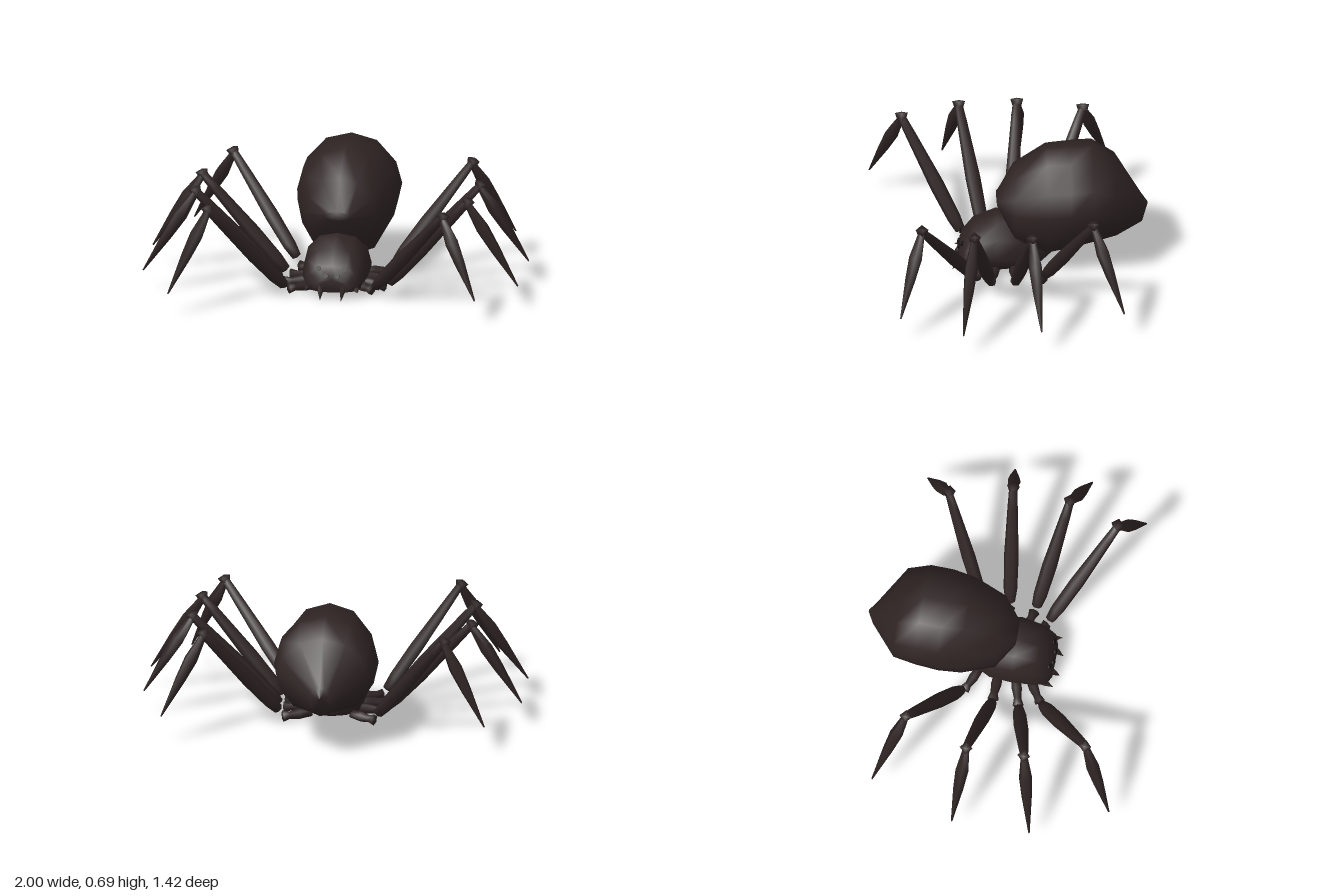
import * as THREE from 'three';

const shell = new THREE.MeshStandardMaterial({ name: 'dark brown shell', color: 0x2e2323 });
const eyeBlack = new THREE.MeshStandardMaterial({ name: 'eye black', color: 0x150f10 });

const V = (p) => new THREE.Vector3(...p);

// Skin a body through sections [z, top, bottom, halfWidth], listed front to back
function loftBody(name, half, sections) {
  const ring = [...half, ...half.slice(1, -1).reverse().map(([x, y]) => [-x, y])];
  const n = ring.length, pos = [], idx = [];
  for (const [z, top, bottom, w] of sections) {
    const mid = (top + bottom) / 2, h = (top - bottom) / 2;
    for (const [x, y] of ring) pos.push(x * w, mid + y * h, z);
  }
  const last = (sections.length - 1) * n;
  for (let j = 0; j < n; j++) {
    const k = (j + 1) % n;
    for (let i = 0; i < last; i += n) {
      idx.push(i + j, i + k, i + n + j, i + k, i + n + k, i + n + j);
    }
    // end caps
    if (j > 0 && k > 0) idx.push(0, k, j, last, last + j, last + k);
  }
  const geo = new THREE.BufferGeometry();
  geo.setAttribute('position', new THREE.Float32BufferAttribute(pos, 3));
  geo.setIndex(idx);
  geo.computeVertexNormals();
  const mesh = new THREE.Mesh(geo, shell);
  mesh.name = name;
  return mesh;
}

// Tapered limb segment from a to b; profile is [radius, fraction along]
function limb(name, a, b, profile, sides = 6) {
  const from = V(a), dir = V(b).sub(from), length = dir.length();
  const pts = profile.map(([r, t]) => new THREE.Vector2(r, t * length));
  const mesh = new THREE.Mesh(new THREE.LatheGeometry(pts, sides), shell);
  mesh.name = name;
  mesh.position.copy(from);
  mesh.quaternion.setFromUnitVectors(new THREE.Vector3(0, 1, 0), dir.normalize());
  return mesh;
}

const COXA = [[0, 0], [0.022, 0.03], [0.028, 0.45], [0.02, 0.75], [0.03, 0.97], [0, 1]];
const FEMUR = [[0, 0], [0.026, 0.01], [0.036, 0.12], [0.039, 0.4], [0.027, 0.85], [0.022, 0.99], [0, 1]];
const KNEE = [[0, 0], [0.018, 0.02], [0.034, 0.9], [0, 1]];
const TIBIA = [[0, 0], [0.018, 0.01], [0.036, 0.3], [0.028, 0.55], [0.004, 1], [0, 1]];
const SPIKE = [[0, 0], [0.02, 0.02], [0.016, 0.4], [0, 1]];

// Each leg: hip, knee and foot
const LEGS = {
  leftFrontLeg: [[0.22, 0.06, 0.2], [0.62, 0.55, 0.49], [0.81, 0.14, 0.61]],
  leftSecondLeg: [[0.28, 0.06, 0.12], [0.71, 0.55, 0.22], [0.99, 0.13, 0.29]],
  leftThirdLeg: [[0.28, 0.06, -0.02], [0.73, 0.55, -0.085], [0.985, 0.14, -0.12]],
  leftBackLeg: [[0.27, 0.08, -0.17], [0.64, 0.57, -0.41], [0.85, 0.16, -0.56]],
  rightFrontLeg: [[-0.25, 0.06, 0.245], [-0.61, 0.55, 0.54], [-0.8, 0.13, 0.7]],
  rightSecondLeg: [[-0.29, 0.06, 0.13], [-0.72, 0.55, 0.235], [-0.99, 0.13, 0.31]],
  rightThirdLeg: [[-0.28, 0.06, -0.015], [-0.73, 0.55, -0.07], [-1, 0.14, -0.1]],
  rightBackLeg: [[-0.25, 0.08, -0.18], [-0.62, 0.57, -0.41], [-0.85, 0.16, -0.55]],
};

function buildLeg(name, [hip, knee, foot]) {
  const leg = new THREE.Group();
  leg.name = name;
  const s = Math.sign(hip[0]);
  const inner = [s * 0.1, 0.05, hip[2] * 0.6];
  const outer = [hip[0] - s * 0.015, 0.04, hip[2] * 0.95];
  const kneeTop = [knee[0] + s * 0.012, knee[1] + 0.025, knee[2]];
  const kneeBase = [knee[0] - s * 0.01, knee[1] - 0.03, knee[2]];
  leg.add(
    limb('coxa', inner, outer, COXA),
    limb('femur', hip, knee, FEMUR),
    limb('knee', kneeBase, kneeTop, KNEE, 4),
    limb('tibia', knee, foot, TIBIA, 5),
  );
  return leg;
}

export function createModel() {
  const spider = new THREE.Group();
  spider.name = 'spider';

  // Big raised abdomen, tapering to a point at the rear
  const eggHalf = [[0, 1], [0.5, 0.87], [0.88, 0.45], [1, 0.02], [0.9, -0.4], [0.63, -0.8], [0, -1]];
  spider.add(loftBody('abdomen', eggHalf, [
    [0.07, 0.42, 0.37, 0.07],
    [-0.02, 0.58, 0.17, 0.19],
    [-0.19, 0.69, 0.09, 0.25],
    [-0.31, 0.695, 0.125, 0.27],
    [-0.43, 0.7, 0.16, 0.268],
    [-0.55, 0.615, 0.2, 0.245],
    [-0.69, 0.4, 0.24, 0.05],
    [-0.72, 0.355, 0.345, 0.006],
  ]));

  // Low head and thorax with a flat underside
  const domeHalf = [[0, 1], [0.52, 0.87], [0.86, 0.4], [1, -0.35], [0.85, -0.85], [0, -1]];
  spider.add(loftBody('thorax', domeHalf, [
    [0.27, 0.11, 0.04, 0.09],
    [0.25, 0.18, 0.035, 0.14],
    [0.19, 0.255, 0.03, 0.165],
    [0.07, 0.305, 0.03, 0.178],
    [-0.05, 0.27, 0.035, 0.165],
    [-0.16, 0.18, 0.05, 0.1],
    [-0.22, 0.12, 0.08, 0.03],
  ]));

  for (const [name, joints] of Object.entries(LEGS)) spider.add(buildLeg(name, joints));

  // Mouthparts and eyes, mirrored
  for (const [side, s] of [['left', 1], ['right', -1]]) {
    spider.add(
      limb(side + 'Fang', [s * 0.06, 0.08, 0.25], [s * 0.055, 0.005, 0.305], SPIKE, 5),
      limb(side + 'Feeler', [s * 0.12, 0.06, 0.22], [s * 0.14, 0.05, 0.285], SPIKE, 5),
    );
    for (const [x, y, z] of [[0.07, 0.165, 0.254], [0.03, 0.13, 0.268]]) {
      const eye = new THREE.Mesh(new THREE.CylinderGeometry(0.014, 0.014, 0.008, 8), eyeBlack);
      eye.name = side + 'Eye';
      eye.position.set(s * x, y, z);
      eye.rotation.x = 1.2;
      spider.add(eye);
    }
  }
  return spider;
}
